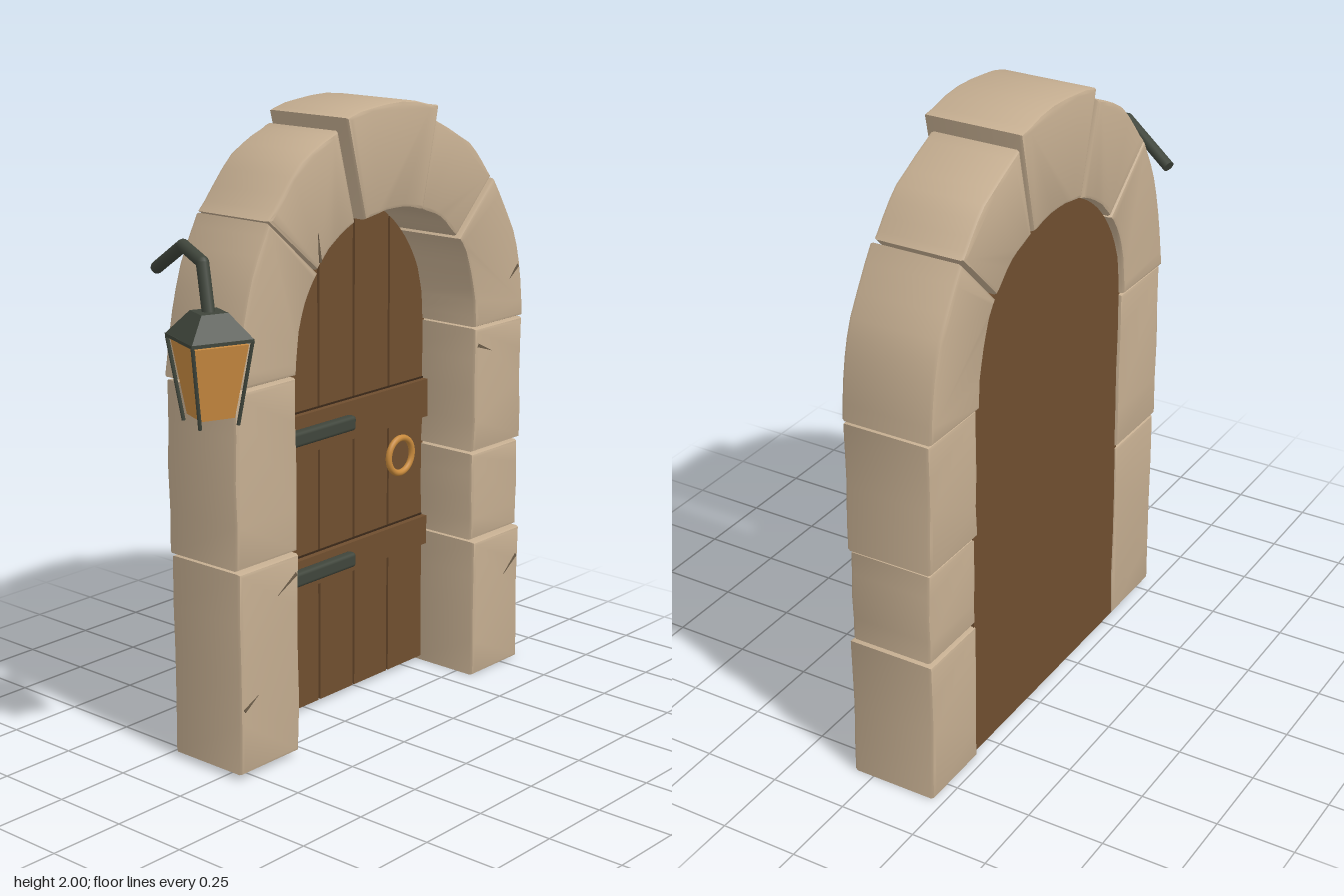
import * as THREE from 'three';
import { toCreasedNormals } from 'three/addons/utils/BufferGeometryUtils.js';
import { RoundedBoxGeometry } from 'three/addons/geometries/RoundedBoxGeometry.js';

const material = (name, color) => {
  const m = new THREE.MeshStandardMaterial({ color });
  m.name = name;
  return m;
};

function createModel() {
  const stone = material('stone', 0xc4ad90);
  const crackDark = material('crack', 0x6b5c49);
  const wood = material('wood', 0x6f4e2f);
  const groove = material('groove', 0x3a2818);
  const iron = material('iron', 0x3f453b);
  const glass = material('amber glass', 0xc98a40);
  const brass = material('brass', 0xc88a3c);

  const root = new THREE.Group();
  root.name = 'archedDoor';
  const add = (parent, name, geo, mat, x = 0, y = 0, z = 0) => {
    const m = new THREE.Mesh(geo, mat);
    m.name = name;
    m.position.set(x, y, z);
    parent.add(m);
    return m;
  };

  // Small seeded noise for the hand-cut edges
  let seed = 7;
  const wobble = (amount) => {
    seed = (seed * 16807) % 2147483647;
    return (seed / 2147483647 - 0.5) * 2 * amount;
  };

  // Stone block with bevelled edges, cut from an outline
  const arch = new THREE.Group();
  arch.name = 'stoneArch';
  root.add(arch);
  const block = (name, pts, back, front) => {
    const bevel = 0.012;
    const geo = new THREE.ExtrudeGeometry(new THREE.Shape(pts), {
      depth: front - back - 2 * bevel, bevelThickness: bevel, bevelSize: bevel,
      bevelOffset: -bevel - 0.002, bevelSegments: 2,
    });
    geo.translate(0, 0, back + bevel);
    add(arch, name, toCreasedNormals(geo, 0.6), stone);
  };

  // Pillar blocks: left edge, right edge, bottom, top
  const pillar = (name, x0, x1, y0, y1, back, front) => {
    const pts = [], n = 4;
    for (let i = 0; i <= n; i++) pts.push(new THREE.Vector2(x1 + wobble(0.004), y0 + (y1 - y0) * i / n));
    for (let i = n; i >= 0; i--) pts.push(new THREE.Vector2(x0 + wobble(0.004), y0 + (y1 - y0) * i / n));
    block(name, pts, back, front);
  };
  pillar('pillarLowerRight', -0.555, -0.29, 0.015, 0.665, -0.22, 0.07);
  pillar('pillarUpperRight', -0.558, -0.29, 0.67, 1.218, -0.225, 0.065);
  pillar('pillarLowerLeft', 0.577, 0.832, -0.002, 0.48, -0.22, 0.07);
  pillar('pillarMiddleLeft', 0.573, 0.83, 0.485, 0.79, -0.215, 0.06);
  pillar('pillarUpperLeft', 0.575, 0.833, 0.795, 1.218, -0.225, 0.065);

  // Wedge stones: outer and inner curves run between the same two joints
  const curve = (pts) => new THREE.SplineCurve(pts.map((p) => new THREE.Vector2(...p))).getPoints(8);
  const wedge = (name, outer, inner, back, front) => {
    const pts = [...curve(outer), ...curve(inner).reverse()];
    pts.forEach((p) => p.set(p.x + wobble(0.002), p.y + wobble(0.002)));
    block(name, pts, back, front);
  };
  wedge('springerRight', [[-0.555, 1.222], [-0.525, 1.4], [-0.475, 1.57], [-0.408, 1.7]],
    [[-0.29, 1.222], [-0.28, 1.34], [-0.245, 1.45], [-0.193, 1.52]], -0.235, 0.068);
  wedge('voussoirRight', [[-0.404, 1.703], [-0.257, 1.857], [-0.092, 1.937]],
    [[-0.189, 1.523], [-0.11, 1.6], [-0.014, 1.65]], -0.235, 0.06);
  wedge('keystone', [[-0.085, 1.972], [0.01, 1.996], [0.19, 2.002], [0.35, 1.972]],
    [[-0.005, 1.655], [0.135, 1.672], [0.278, 1.652]], -0.237, 0.088);
  wedge('voussoirLeft', [[0.352, 1.932], [0.54, 1.835], [0.657, 1.713]],
    [[0.284, 1.65], [0.39, 1.61], [0.477, 1.535]], -0.235, 0.06);
  wedge('springerLeft', [[0.661, 1.709], [0.765, 1.54], [0.812, 1.395], [0.833, 1.222]],
    [[0.481, 1.53], [0.525, 1.46], [0.562, 1.34], [0.575, 1.222]], -0.235, 0.068);

  // Cracks: thin tapered slivers on the stone fronts (wide end, tip, face z)
  const crack = (x0, y0, x1, y1, z) => {
    const a = new THREE.Vector2(x0, y0), b = new THREE.Vector2(x1, y1);
    const side = b.clone().sub(a).normalize().rotateAround(new THREE.Vector2(), Math.PI / 2).multiplyScalar(0.006);
    const shape = new THREE.Shape([a.clone().add(side), a.clone().sub(side), b]);
    add(arch, 'crack', new THREE.ExtrudeGeometry(shape, { depth: 0.003, bevelEnabled: false }), crackDark, 0, 0, z);
  };
  crack(-0.54, 0.225, -0.48, 0.26, 0.069);
  crack(-0.305, 0.605, -0.39, 0.555, 0.069);
  crack(0.59, 1.16, 0.665, 1.13, 0.064);
  crack(0.815, 0.38, 0.745, 0.325, 0.069);
  crack(0.795, 1.4, 0.75, 1.36, 0.067);
  crack(-0.18, 1.55, -0.19, 1.64, 0.059);

  // Door: full back panel plus raised planks that follow the arch
  const door = new THREE.Group();
  door.name = 'door';
  root.add(door);
  const cx = 0.1425, halfW = 0.445, bottom = 0.015;
  const archY = (x) => 1.2 + 0.48 * Math.sqrt(Math.max(0, 1 - ((x - cx) / halfW) ** 2));
  const board = (name, x0, x1, z0, z1, mat, n = 12) => {
    const pts = [new THREE.Vector2(x0, bottom), new THREE.Vector2(x1, bottom)];
    for (let i = 0; i <= n; i++) {
      const x = cx - (x1 + (x0 - x1) * i / n - cx) * -1;
      pts.push(new THREE.Vector2(x, archY(x)));
    }
    const geo = new THREE.ExtrudeGeometry(new THREE.Shape(pts), { depth: z1 - z0, bevelEnabled: false });
    add(door, name, geo, mat, 0, 0, z0);
  };
  board('backPanel', cx - halfW, cx + halfW, -0.213, -0.175, wood, 40);
  const seams = [cx - halfW, -0.12, 0.055, 0.225, 0.4, cx + halfW];
  for (let i = 0; i < 5; i++) {
    board('plank', seams[i] + 0.005, seams[i + 1] - 0.005, -0.175, -0.16, wood);
    if (i > 0) board('plankGroove', seams[i] - 0.005, seams[i] + 0.005, -0.175, -0.17, groove, 2);
  }

  // Battens with dark seams, and iron hinge straps
  for (const [y, h, strapY] of [[0.952, 0.13, 0.95], [0.485, 0.1, 0.485]]) {
    add(door, 'battenSeam', new THREE.BoxGeometry(0.866, h + 0.01, 0.006), groove, cx, y, -0.158);
    add(door, 'batten', new THREE.BoxGeometry(0.868, h, 0.025), wood, cx, y, -0.1475);
    add(door, 'hingeStrap', new RoundedBoxGeometry(0.475, 0.05, 0.036, 2, 0.012), iron, -0.0575, strapY, -0.123);
  }

  // Ring handle
  add(door, 'ringHandle', new THREE.TorusGeometry(0.06, 0.011, 10, 32), brass, 0.447, 0.775, -0.145);

  // Lantern, turned so its back faces along the bracket
  const lantern = new THREE.Group();
  lantern.name = 'lantern';
  lantern.position.set(-0.71, 0, 0.117);
  lantern.rotation.y = -0.375;
  root.add(lantern);
  const frustum = (name, rTop, rBottom, y0, y1, mat) => {
    const geo = new THREE.CylinderGeometry(rTop, rBottom, y1 - y0, 4, 1).rotateY(Math.PI / 4);
    add(lantern, name, toCreasedNormals(geo, 0.3), mat, 0, (y0 + y1) / 2, 0);
  };
  const rod = (name, a, b, r, sides) => {
    const d = b.clone().sub(a);
    const m = add(lantern, name, new THREE.CylinderGeometry(r, r, d.length(), sides), iron);
    m.position.copy(a).addScaledVector(d, 0.5);
    m.quaternion.setFromUnitVectors(new THREE.Vector3(0, 1, 0), d.normalize());
  };
  frustum('lanternRoof', 0.058, 0.133, 1.427, 1.497, iron);
  frustum('lanternRim', 0.135, 0.135, 1.417, 1.427, iron);
  frustum('lanternGlass', 0.118, 0.073, 1.195, 1.41, glass);
  for (let i = 0; i < 4; i++) {
    const a = Math.PI / 4 + i * Math.PI / 2;
    const at = (r, y) => new THREE.Vector3(Math.cos(a) * r, y, Math.sin(a) * r);
    rod('lanternRod', at(0.129, 1.42), at(0.083, 1.175), 0.006, 6);
  }

  // Bent bracket reaching back to the wall
  const bend = [[1.48, 0], [1.63, -0.04], [1.655, -0.176], [1.555, -0.378]]
    .map(([y, z]) => new THREE.Vector3(0, y, z));
  for (let i = 0; i < 3; i++) {
    rod('bracketArm', bend[i], bend[i + 1], 0.019, 12);
    if (i > 0) add(lantern, 'bracketJoint', new THREE.SphereGeometry(0.019, 12, 8), iron, 0, bend[i].y, bend[i].z);
  }
  return root;
}

export { createModel };
